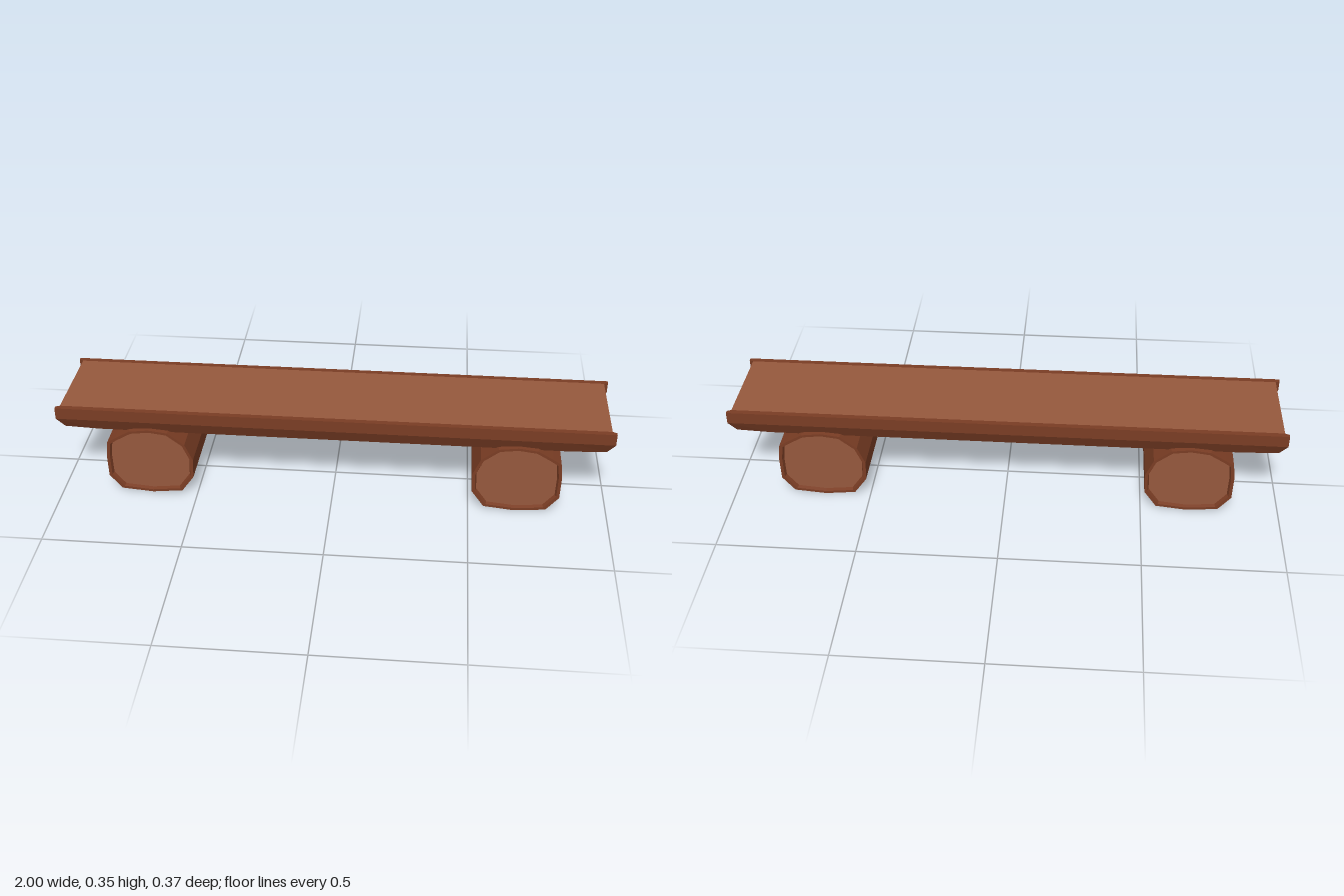
import * as THREE from 'three';

const bark = new THREE.MeshStandardMaterial({ color: 0x7a3d24, flatShading: true, side: THREE.DoubleSide });
const wood = new THREE.MeshStandardMaterial({ color: 0x95583d, flatShading: true });

// Skins a list of cross-sections (rows of [x, y, z]); closed joins each row's ends.
function loft(name, rows, material, closed) {
  const pos = [];
  const same = (p, q) => p.every((v, i) => v === q[i]);
  const tri = (a, b, c) => {
    if (!same(a, b) && !same(b, c) && !same(a, c)) pos.push(...a, ...b, ...c);
  };
  const n = rows[0].length;
  for (let r = 0; r < rows.length - 1; r++) {
    for (let c = 0; c < (closed ? n : n - 1); c++) {
      const k = (c + 1) % n;
      tri(rows[r][c], rows[r][k], rows[r + 1][k]);
      tri(rows[r][c], rows[r + 1][k], rows[r + 1][c]);
    }
  }
  const geometry = new THREE.BufferGeometry();
  geometry.setAttribute('position', new THREE.Float32BufferAttribute(pos, 3));
  geometry.computeVertexNormals();
  const mesh = new THREE.Mesh(geometry, material);
  mesh.name = name;
  return mesh;
}

// Split-log seat: bark trough around a slightly shorter wooden core
function makeSeat() {
  const seat = new THREE.Group();
  seat.name = 'seat';
  // half profiles as [x end, y, z], from the top edge to the underside
  const inner = [[0.985, 0.347, 0.163], [0.985, 0.31, 0.163], [0.965, 0.28, 0.15], [0.965, 0.278, 0.07]];
  const rim = [[1, 0.347, 0.17], [1, 0.306, 0.17], [0.978, 0.27, 0.154], [0.976, 0.268, 0.07]];
  const outer = [[1, 0.347, 0.183], [1, 0.303, 0.183], [0.975, 0.26, 0.161], [0.972, 0.257, 0.07]];
  const belly = [[0.85, 0.347, 0.183], [0.85, 0.303, 0.183], [0.85, 0.254, 0.16], [0.85, 0.25, 0.07]];
  const row = (half, s) => [
    ...half.map(([x, y, z]) => [s * x, y, z]),
    ...[...half].reverse().map(([x, y, z]) => [s * x, y, -z]),
  ];
  const core = s => row(inner, s).map(() => [s * 0.985, 0.31, 0]);

  seat.add(loft('seatBark', [
    ...[inner, rim, outer, belly].map(h => row(h, -1)),
    ...[belly, outer, rim, inner].map(h => row(h, 1)),
  ], bark, false));
  seat.add(loft('seatWood', [core(-1), row(inner, -1), row(inner, 1), core(1)], wood, true));

  // bark edges along the top
  for (const turn of [0, Math.PI]) {
    const edge = loft('seatBarkEdge', [outer, rim, inner].map(h => {
      const [x, y, z] = h[0];
      return [[-x, y, z], [x, y, z]];
    }), bark, false);
    edge.rotation.y = turn;
    seat.add(edge);
  }
  return seat;
}

// Log support lying across the seat, with a raised bark rim at both ends
function makeLeg(name) {
  const leg = new THREE.Group();
  leg.name = name;
  const cy = 0.135;
  const profile = [
    [0.162, 0.15], [0.155, 0.21], [0.125, 0.23], [0.07, 0.262], [0, 0.271], [-0.07, 0.262],
    [-0.13, 0.215], [-0.158, 0.15], [-0.155, 0.075], [-0.11, 0.012], [0, 0], [0.115, 0.01], [0.16, 0.065],
  ];
  const ring = (scale, z) => profile.map(([x, y]) => [x * scale, cy + (y - cy) * scale, z]);
  leg.add(loft('legBark', [
    ring(0.9, -0.17), ring(0.93, -0.183), ring(1, -0.183),
    ring(1, 0.183), ring(0.93, 0.183), ring(0.9, 0.17),
  ], bark, true));
  leg.add(loft('legWood', [ring(0, -0.17), ring(0.9, -0.17), ring(0.9, 0.17), ring(0, 0.17)], wood, true));
  return leg;
}

export function createModel() {
  const model = new THREE.Group();
  model.name = 'logBench';
  model.add(makeSeat());
  for (const s of [1, -1]) {
    const leg = makeLeg(s > 0 ? 'leftLeg' : 'rightLeg');
    leg.position.x = s * 0.666;
    leg.rotation.y = s > 0 ? 0 : Math.PI;
    model.add(leg);
  }
  return model;
}
